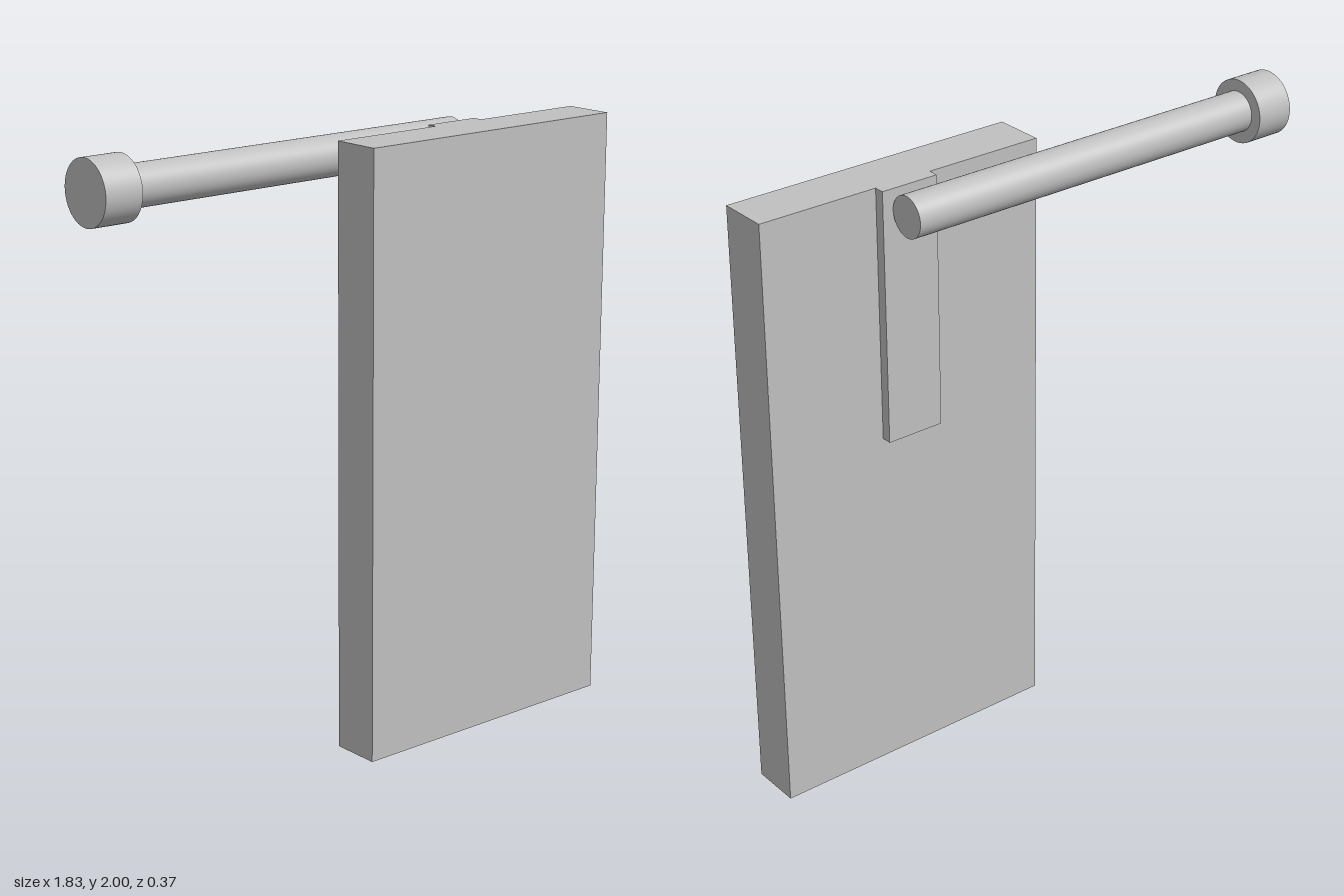
import * as THREE from 'three';

export function createModel() {
  const group = new THREE.Group();
  const grey = new THREE.MeshStandardMaterial({ color: 0xc0c0c0 });
  grey.name = 'light grey';

  // box between two corners
  const box = (name, [x0, y0, z0], [x1, y1, z1]) => {
    const mesh = new THREE.Mesh(new THREE.BoxGeometry(x1 - x0, y1 - y0, z1 - z0), grey);
    mesh.position.set((x0 + x1) / 2, (y0 + y1) / 2, (z0 + z1) / 2);
    mesh.name = name;
    group.add(mesh);
  };

  // round bar along x, on the shared rod axis
  const bar = (name, radius, x0, x1) => {
    const geometry = new THREE.CylinderGeometry(radius, radius, x1 - x0, 64).rotateZ(Math.PI / 2);
    const mesh = new THREE.Mesh(geometry, grey);
    mesh.position.set((x0 + x1) / 2, 1.898, -0.081);
    mesh.name = name;
    group.add(mesh);
  };

  // hanging panel and the mounting strip on its back
  box('panel', [-0.067, 0, 0.019], [0.914, 1.963, 0.183]);
  box('mountingStrip', [0.327, 1.15, -0.014], [0.519, 1.963, 0.019]);

  // support rod with its wider end cap
  bar('rod', 0.065, -0.79, 0.485);
  bar('endCap', 0.102, -0.914, -0.787);

  return group;
}
